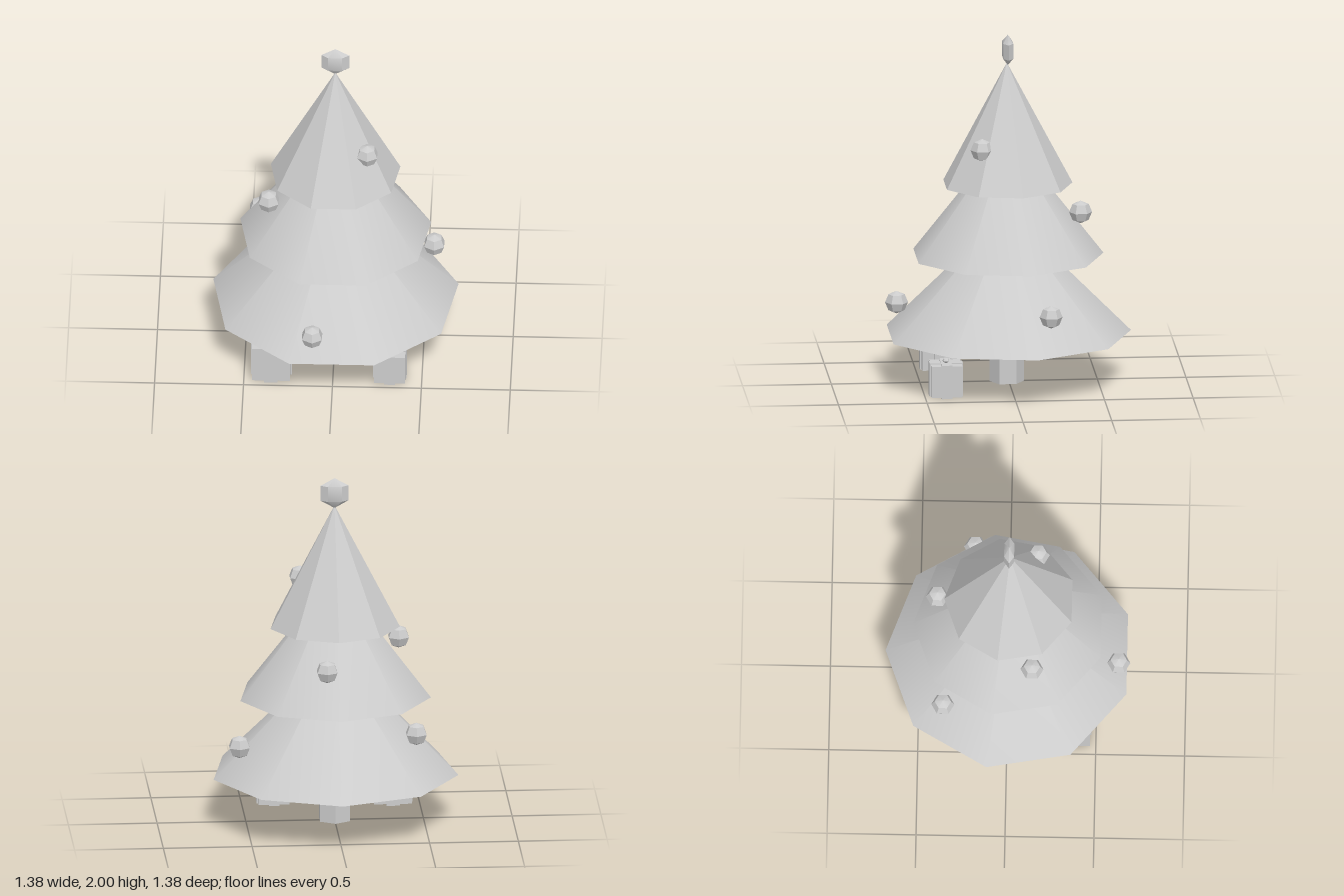
import * as THREE from 'three';
import { toCreasedNormals } from 'three/addons/utils/BufferGeometryUtils.js';

const CREASE = THREE.MathUtils.degToRad(33);

export function createModel() {
  const model = new THREE.Group();
  model.name = 'decoratedTree';
  const gray = new THREE.MeshStandardMaterial({ color: 0xcccccc });
  gray.name = 'plain gray';

  function add(parent, name, geometry, x, y, z) {
    const mesh = new THREE.Mesh(toCreasedNormals(geometry, CREASE), gray);
    mesh.name = name;
    mesh.position.set(x, y, z);
    parent.add(mesh);
    return mesh;
  }

  // Tree: six-sided trunk and three nine-sided tiers, one corner at the back
  const tree = new THREE.Group();
  tree.name = 'tree';
  tree.position.z = 0.01;
  model.add(tree);
  add(tree, 'trunk', new THREE.CylinderGeometry(0.097, 0.097, 0.3, 6), 0, 0.15, 0);
  const tiers = [
    ['lowerTier', 0.7, 0.28, 0.7],
    ['middleTier', 0.545, 0.73, 0.7],
    ['upperTier', 0.37, 1.14, 0.7],
  ];
  for (const [name, radius, base, height] of tiers) {
    const cone = new THREE.ConeGeometry(radius, height, 9).rotateY(Math.PI);
    add(tree, name, cone, 0, base + height / 2, 0);
  }

  // Flattened gem on the tip
  const gem = new THREE.SphereGeometry(0.0875, 6, 3).scale(1.04, 1, 0.43);
  add(tree, 'topGem', gem, 0, 1.9125, -0.005);

  // Baubles, each a faceted ball with corners on the z axis
  const baubles = [
    [-0.435, 0.6, -0.36], [0.07, 0.985, -0.4], [0.55, 0.495, -0.195],
    [-0.37, 1.025, 0.14], [0.185, 1.38, 0.165], [-0.11, 0.44, 0.623],
  ];
  for (const [x, y, z] of baubles) {
    add(model, 'bauble', new THREE.SphereGeometry(0.065, 6, 4).rotateY(Math.PI / 2), x, y, z);
  }

  // Presents: box, two crossing ribbons and a bow
  function present(name, x, z, size, height, band) {
    const group = new THREE.Group();
    group.name = name;
    group.position.set(x, 0, z);
    model.add(group);
    const inner = size * 0.93;
    const mid = height / 2;
    add(group, 'box', new THREE.BoxGeometry(inner, height * 0.93, inner), 0, mid, 0);
    add(group, 'ribbonAcross', new THREE.BoxGeometry(size, height, band), 0, mid, 0);
    add(group, 'ribbonAlong', new THREE.BoxGeometry(band, height - 0.001, size), 0, mid, 0);
    const bow = new THREE.SphereGeometry(1, 8, 4).scale(size * 0.18, size * 0.08, size * 0.1);
    add(group, 'bow', bow, 0, height + size * 0.05, 0);
  }
  present('largePresent', -0.347, 0.36, 0.23, 0.237, 0.075);
  present('smallPresent', 0.32, 0.38, 0.188, 0.193, 0.06);

  return model;
}
